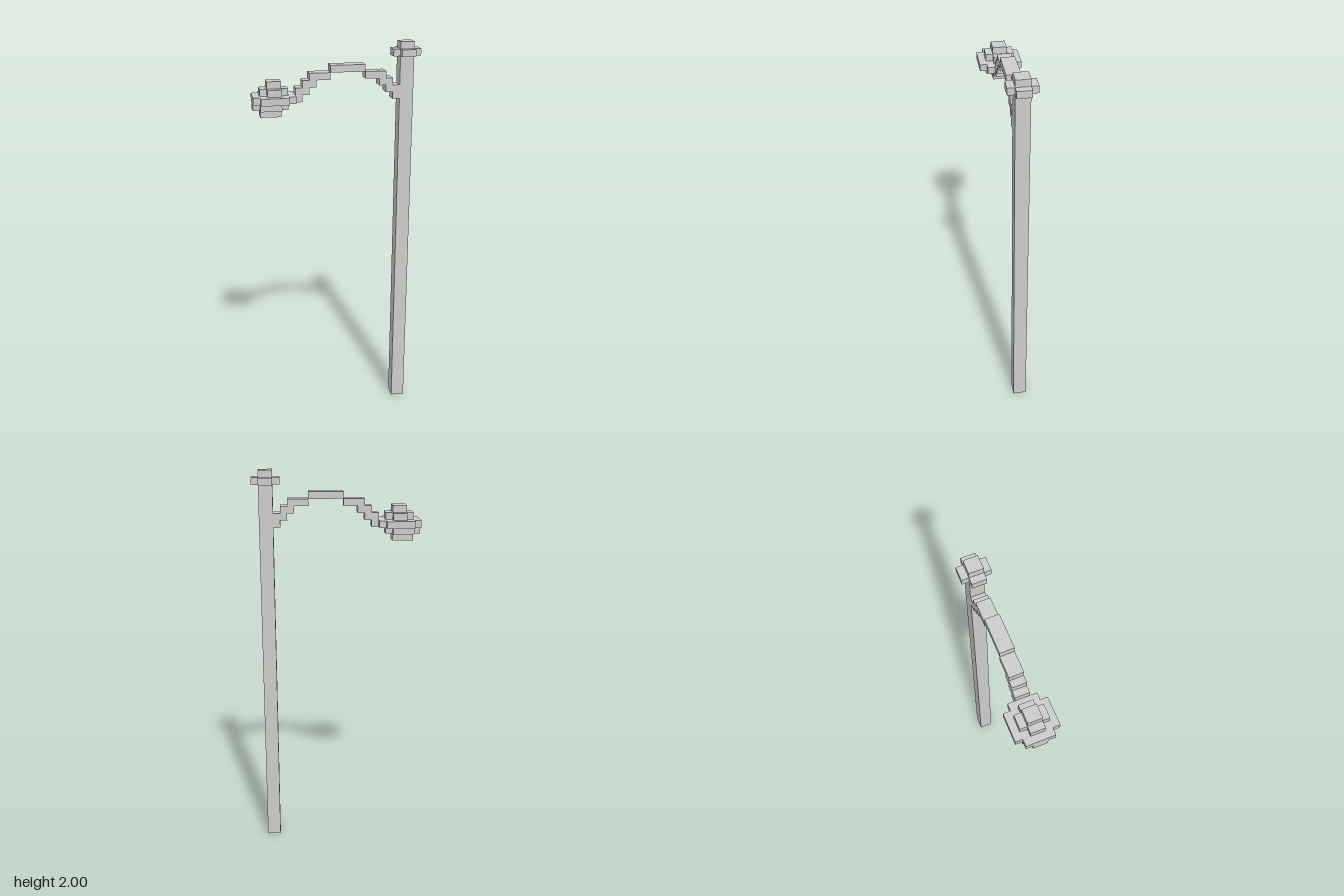
import * as THREE from 'three';

const U = 2 / 57; // one voxel

export function createModel() {
  const model = new THREE.Group();
  model.name = 'streetLamp';
  const material = new THREE.MeshStandardMaterial({ color: 0xcccccc, flatShading: true });

  const add = (parent, name, geometry) => {
    geometry.scale(U, U, U);
    const mesh = new THREE.Mesh(geometry, material);
    mesh.name = name;
    parent.add(mesh);
  };

  // Box from x0..x1 and y0..y1, centred on z = 0, in voxels
  const box = (parent, name, x0, x1, y0, y1, halfZ = 1) =>
    add(parent, name, new THREE.BoxGeometry(x1 - x0, y1 - y0, 2 * halfZ)
      .translate((x0 + x1) / 2, (y0 + y1) / 2, 0));

  // One-voxel slab with its four corners notched by one voxel
  const cross = (parent, name, x0, x1, halfZ, y) => {
    const z = halfZ, n = halfZ - 1;
    const shape = new THREE.Shape([
      [x0, -n], [x0 + 1, -n], [x0 + 1, -z], [x1 - 1, -z], [x1 - 1, -n], [x1, -n],
      [x1, n], [x1 - 1, n], [x1 - 1, z], [x0 + 1, z], [x0 + 1, n], [x0, n],
    ].map(([a, b]) => new THREE.Vector2(a, b)));
    add(parent, name, new THREE.ExtrudeGeometry(shape, { depth: 1, bevelEnabled: false })
      .rotateX(-Math.PI / 2).translate(0, y, 0));
  };

  // Post with a collar near the top
  box(model, 'post', 9, 11, 0, 57);
  cross(model, 'postCollar', 8, 12, 2, 55);

  // Stepped arch reaching from the post to the lamp
  const arm = new THREE.Group();
  arm.name = 'arm';
  model.add(arm);
  [
    [-7, -5, 49], [-6, -4, 50], [-5, -3, 51], [-4, -1, 52], [-1, 4, 53],
    [4, 7, 52], [6, 8, 51], [7, 9, 50], [8, 9, 49],
  ].forEach(([x0, x1, y]) => box(arm, 'armStep', x0, x1, y, y + 1));

  // Layered lamp head
  const lamp = new THREE.Group();
  lamp.name = 'lampHead';
  model.add(lamp);
  box(lamp, 'lampBulb', -11, -8, 47, 48);
  cross(lamp, 'lampUnderside', -12, -7, 2, 48);
  cross(lamp, 'lampRim', -12, -6, 3, 49);
  cross(lamp, 'lampShade', -11, -7, 2, 50);
  box(lamp, 'lampCap', -10, -8, 51, 52);

  return model;
}
